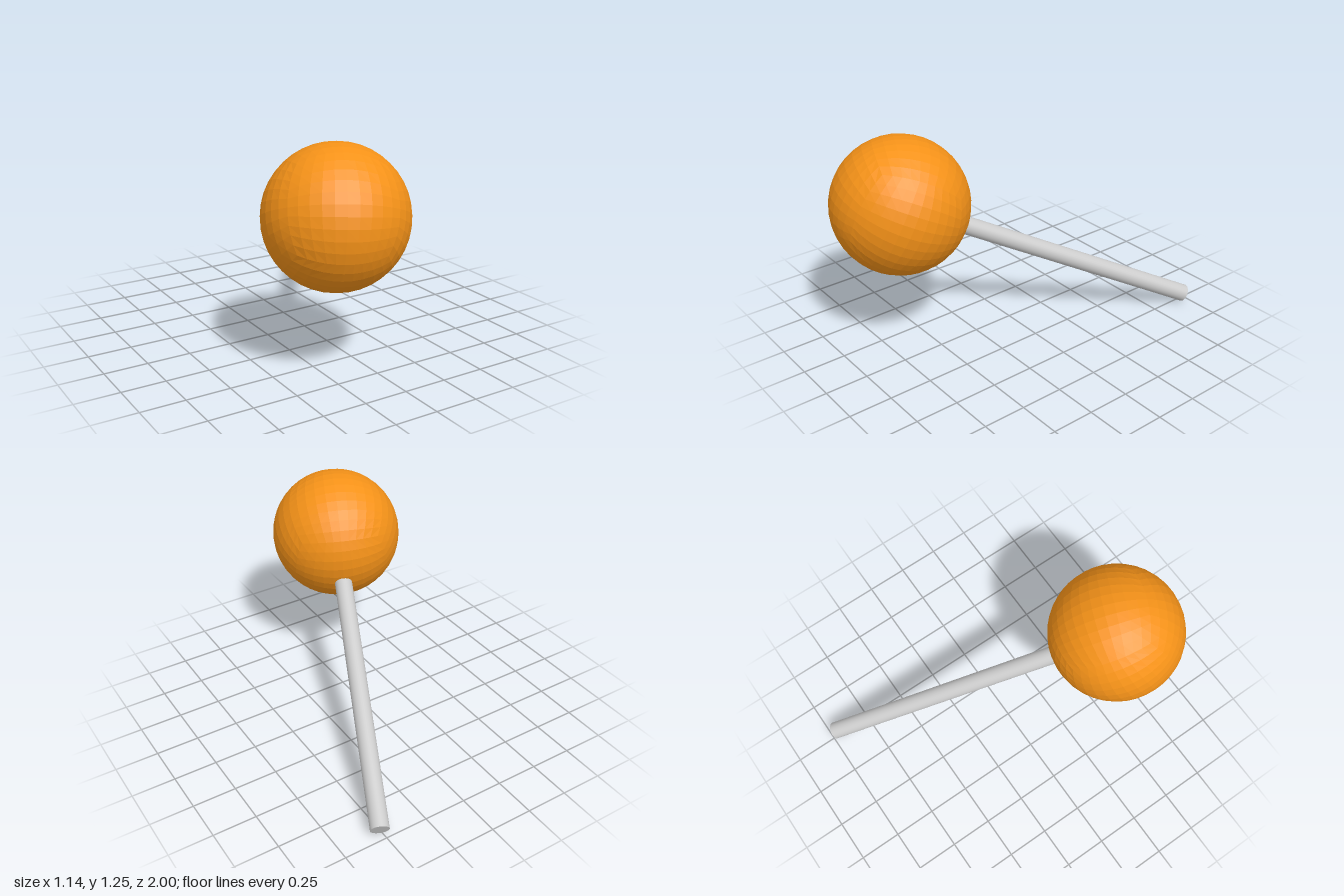
import * as THREE from 'three';

const BALL_CENTER = new THREE.Vector3(-0.185, 0.862, 0.612);
const BALL_RADIUS = 0.388;
const STICK_END = new THREE.Vector3(0.524, 0.047, -0.971);
const STICK_RADIUS = 0.052;

// Box grid pushed out to a sphere
function cubeSphere(radius, segments) {
  const geometry = new THREE.BoxGeometry(2, 2, 2, segments, segments, segments);
  const position = geometry.attributes.position;
  const p = new THREE.Vector3();
  for (let i = 0; i < position.count; i++) {
    p.fromBufferAttribute(position, i);
    // even out the angular spacing of the grid
    p.set(...p.toArray().map((v) => Math.tan(v * Math.PI / 4)));
    p.setLength(radius);
    position.setXYZ(i, p.x, p.y, p.z);
  }
  geometry.computeVertexNormals();
  return geometry;
}

export function createModel() {
  const group = new THREE.Group();
  const up = BALL_CENTER.clone().sub(STICK_END).normalize();

  // Shared frame: y runs along the stick, one grid corner faces forward
  const corner = new THREE.Vector3(0.19, -0.31, 0.93);
  const diagonal = corner.addScaledVector(up, -corner.dot(up)).normalize();
  const x = diagonal.applyAxisAngle(up, -Math.PI / 4);
  const z = new THREE.Vector3().crossVectors(x, up);
  const frame = new THREE.Matrix4().makeBasis(x, up, z);

  // Ball
  const ball = new THREE.Mesh(
    cubeSphere(BALL_RADIUS, 10),
    new THREE.MeshStandardMaterial({ color: 0xf59218, flatShading: true })
  );
  ball.name = 'ball';
  ball.position.copy(BALL_CENTER);
  ball.quaternion.setFromRotationMatrix(frame);
  group.add(ball);

  // Stick, its upper end sunk slightly into the ball
  const top = BALL_CENTER.clone().addScaledVector(up, -BALL_RADIUS + 0.02);
  const stick = new THREE.Mesh(
    new THREE.CylinderGeometry(STICK_RADIUS, STICK_RADIUS, top.distanceTo(STICK_END), 32),
    new THREE.MeshStandardMaterial({ color: 0xcccccc })
  );
  stick.name = 'stick';
  stick.position.copy(top).add(STICK_END).multiplyScalar(0.5);
  stick.quaternion.copy(ball.quaternion);
  group.add(stick);

  return group;
}
